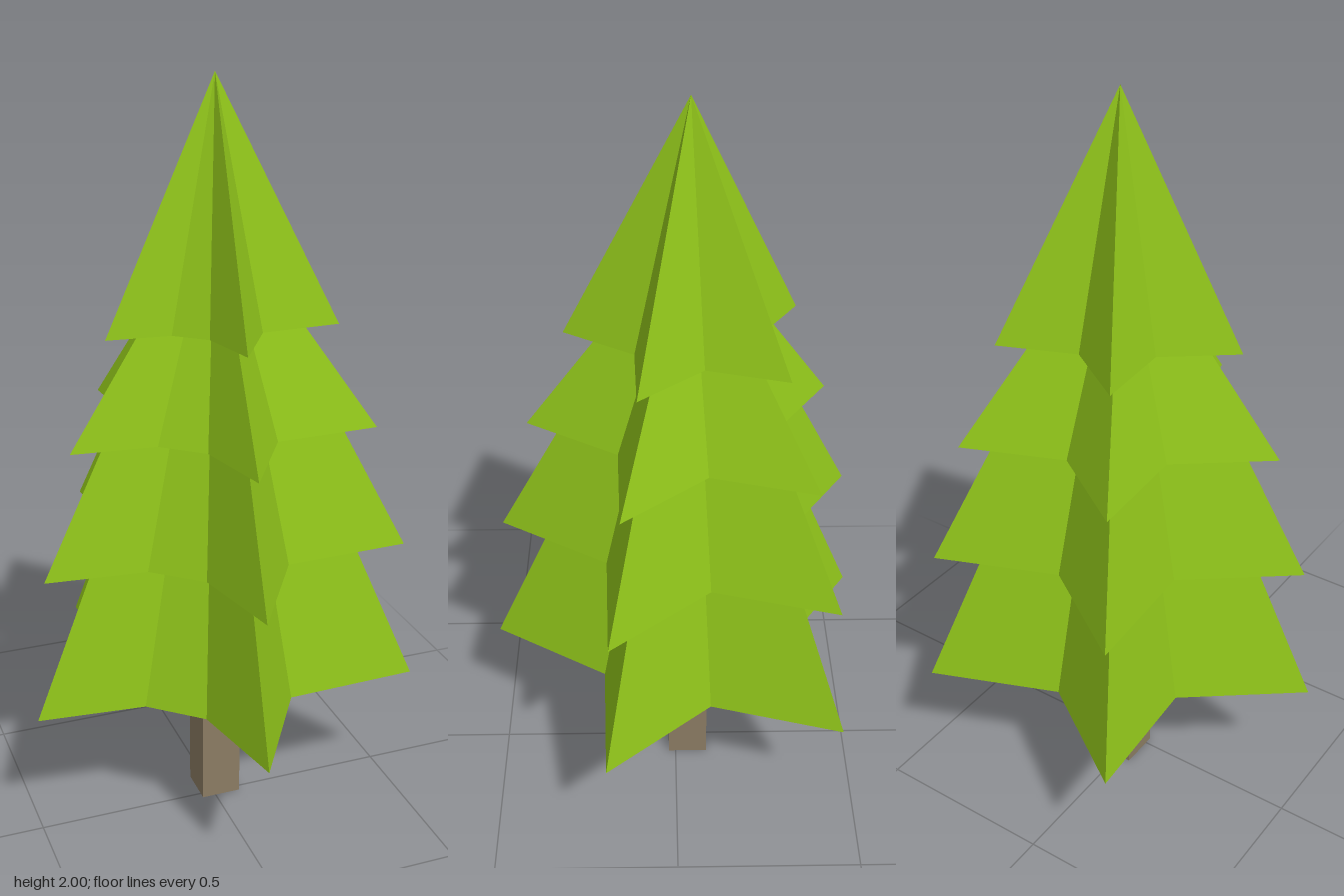
import * as THREE from 'three';

// Trunk axis, and the star outline of the lowest branches as [x, z], clockwise from above
const CX = 0.017, CZ = -0.035;
const STAR = [
  [-0.255, -0.508], [0.045, -0.305], [0.38, -0.44], [0.28, -0.092],
  [0.513, 0.185], [0.15, 0.197], [-0.04, 0.503], [-0.1, 0.22],
  [-0.23, 0.105], [-0.515, 0.076], [-0.23, -0.145],
];

// Tiers: bottom height, top height, outline scale at the bottom and at the top
const TIERS = [
  [0.39, 0.78, 1, 0.685],
  [0.78, 1.11, 0.933, 0.607],
  [1.11, 1.385, 0.775, 0.41],
  [1.385, 2, 0.578, 0],
];

// One star-shaped skirt of branches: sloping sides and a flat underside
function tierGeometry(y0, y1, s0, s1) {
  const pos = [];
  const at = (i, y, s) => {
    const [x, z] = STAR[i % STAR.length];
    return [CX + (x - CX) * s, y, CZ + (z - CZ) * s];
  };
  for (let i = 0; i < STAR.length; i++) {
    const a = at(i, y0, s0), b = at(i + 1, y0, s0);
    const c = at(i, y1, s1), d = at(i + 1, y1, s1);
    pos.push(...b, ...a, ...c);
    if (s1 > 0) pos.push(...b, ...c, ...d);
    pos.push(CX, y0, CZ, ...a, ...b);
  }
  const geometry = new THREE.BufferGeometry();
  geometry.setAttribute('position', new THREE.Float32BufferAttribute(pos, 3));
  geometry.computeVertexNormals();
  return geometry;
}

export function createModel() {
  const tree = new THREE.Group();
  tree.name = 'tree';

  const green = new THREE.MeshStandardMaterial({ color: 0x8fc31a, flatShading: true });
  const brown = new THREE.MeshStandardMaterial({ color: 0x8b7c63, flatShading: true });

  // Square trunk
  const trunk = new THREE.Mesh(new THREE.BoxGeometry(0.11, 0.4, 0.11), brown);
  trunk.position.set(CX, 0.2, CZ);
  trunk.name = 'trunk';
  tree.add(trunk);

  // Stacked foliage
  TIERS.forEach((tier, i) => {
    const mesh = new THREE.Mesh(tierGeometry(...tier), green);
    mesh.name = `foliageTier${i + 1}`;
    tree.add(mesh);
  });

  return tree;
}
